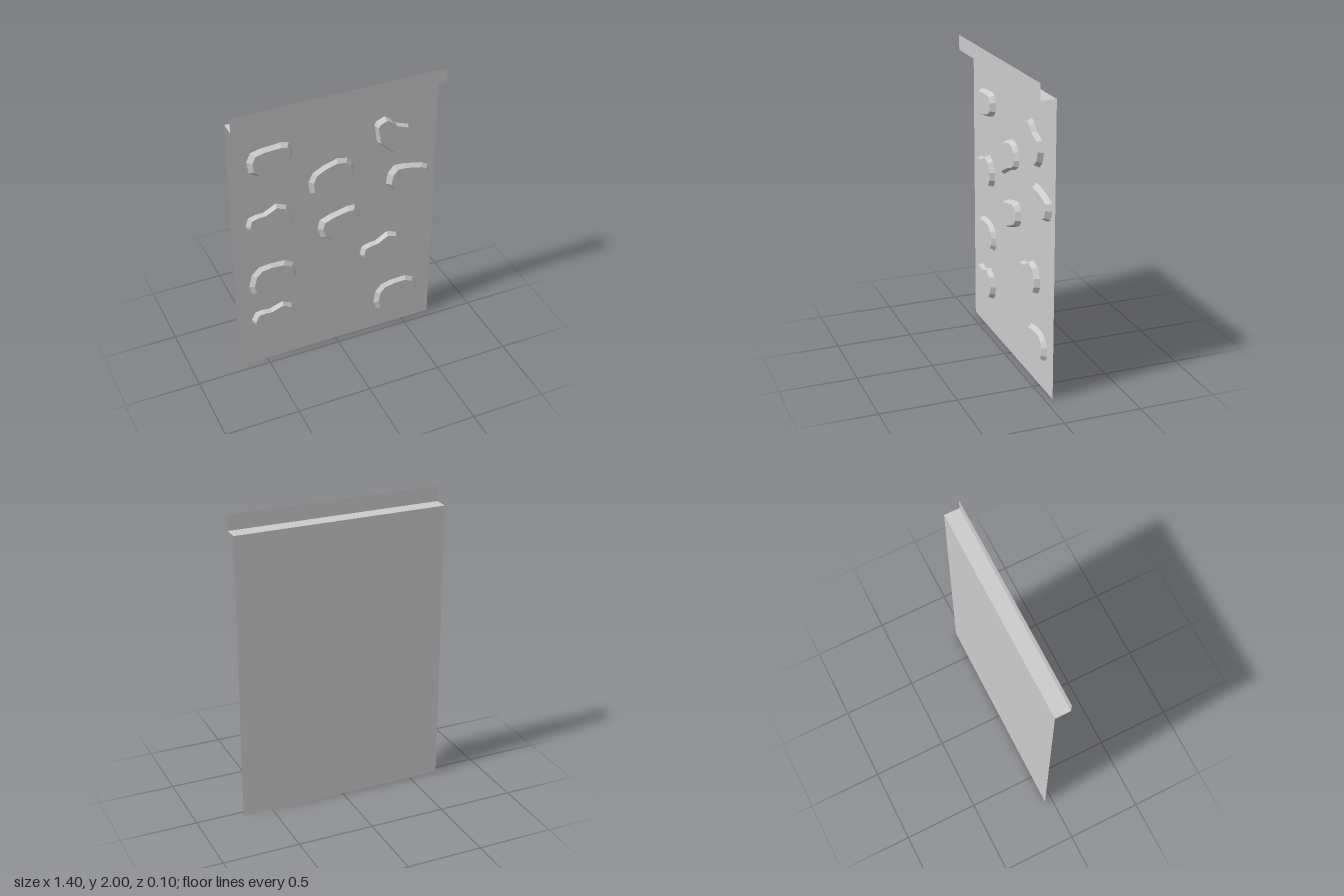
import * as THREE from 'three';

const material = new THREE.MeshStandardMaterial({ color: 0xcccccc, flatShading: true, side: THREE.DoubleSide });
const BACK = -0.05;

// Hold types: counter-clockwise outline (hundredths, around its centre), depth, front face scale
const HOLDS = {
  oval: {
    depth: 0.033, taper: 0.82,
    outline: [[-14.8, 1.6], [-13.8, -6.3], [-9, -9.8], [1.6, -8], [10.6, -5.6], [14.3, -2.1],
      [14.8, 4.5], [12.7, 8.7], [8, 9.8], [-5.3, 9], [-12.2, 7.4]],
  },
  pocket: {
    depth: 0.027, taper: 0.83,
    outline: [[-16.4, -3.7], [-14.8, -10.3], [-1.6, -8.7], [6.3, -9], [12.7, -8], [15.9, -4.2],
      [16.4, 1.6], [14.3, 6.3], [8.5, 10], [-1.6, 10.6], [-9.5, 9.5], [-14.3, 4.8]],
  },
  horn: {
    depth: 0.033, taper: 0.88,
    outline: [[-15.3, 1.8], [-14.8, -0.8], [-10, -4.8], [-4.8, -9.5], [10.6, -10.3], [14.3, -6.1],
      [15.3, -0.3], [12.7, 6.6], [6.3, 10.3], [-2.6, 7.1], [-8, 7.7], [-12.7, 7.1]],
  },
};

// type, x, y, rotation in degrees
const PLACEMENTS = [
  ['oval', -0.43, 1.59, 0],
  ['oval', 0.025, 0.98, 9],
  ['oval', 0.503, 1.207, -16],
  ['pocket', -0.437, 0.69, 0],
  ['pocket', -0.03, 1.35, 20],
  ['pocket', 0.442, 0.27, 5],
  ['horn', -0.442, 0.353, 0],
  ['horn', -0.45, 1.14, 8],
  ['horn', 0.328, 0.684, 12],
  ['horn', 0.383, 1.56, -40],
];

// Tapered solid, open at the back: a sloping rim and a flat front face
function holdGeometry({ outline, depth, taper }) {
  const base = outline.map(([x, y]) => new THREE.Vector2(x / 100, y / 100));
  const face = base.map((p) => p.clone().multiplyScalar(taper));
  const n = base.length;
  const positions = [];
  for (const p of base) positions.push(p.x, p.y, 0);
  for (const p of face) positions.push(p.x, p.y, depth);
  const index = [];
  for (let i = 0; i < n; i++) {
    const j = (i + 1) % n;
    index.push(i, j, n + j, i, n + j, n + i);
  }
  for (const tri of THREE.ShapeUtils.triangulateShape(face, [])) {
    index.push(...tri.map((i) => n + i));
  }
  const geometry = new THREE.BufferGeometry();
  geometry.setAttribute('position', new THREE.Float32BufferAttribute(positions, 3));
  geometry.setIndex(index);
  const flat = geometry.toNonIndexed();
  flat.computeVertexNormals();
  return flat;
}

export function createModel() {
  const model = new THREE.Group();
  model.name = 'climbingWall';

  const sheet = (name, height, y, z) => {
    const mesh = new THREE.Mesh(new THREE.PlaneGeometry(1.4, height), material);
    mesh.name = name;
    mesh.position.set(0, y, z);
    model.add(mesh);
    return mesh;
  };

  // Wall sheet, folded forward and then up along its top
  sheet('wallPanel', 1.9, 0.95, BACK);
  sheet('topLedge', 0.1, 1.9, 0).rotation.x = -Math.PI / 2;
  sheet('topLip', 0.1, 1.95, 0.05);

  // Climbing holds
  const geometries = {};
  for (const type in HOLDS) geometries[type] = holdGeometry(HOLDS[type]);
  PLACEMENTS.forEach(([type, x, y, angle], i) => {
    const hold = new THREE.Mesh(geometries[type], material);
    hold.name = `${type}Hold${i + 1}`;
    hold.position.set(x, y, BACK);
    hold.rotation.z = THREE.MathUtils.degToRad(angle);
    model.add(hold);
  });

  return model;
}
